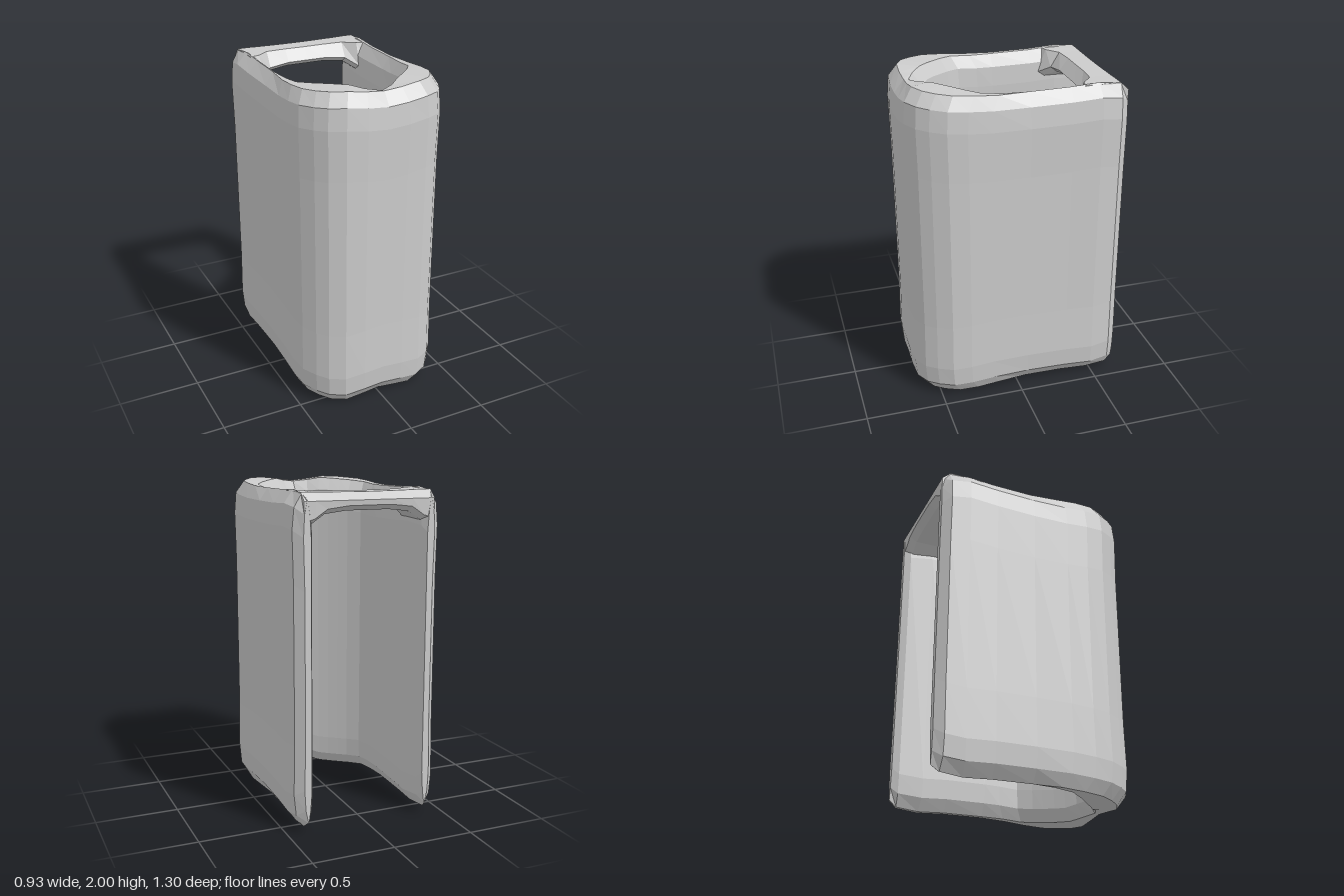
import * as THREE from 'three';

const material = new THREE.MeshStandardMaterial({ color: 0xcccccc, flatShading: true });

// Skin a row of closed rings (arrays of Vector3), capping both ends
function loft(rings, name) {
  const n = rings[0].length, pos = [], idx = [];
  rings.forEach(r => r.forEach(p => pos.push(p.x, p.y, p.z)));
  for (let i = 0; i < rings.length - 1; i++) {
    for (let j = 0; j < n; j++) {
      const k = (j + 1) % n, a = i * n + j, b = i * n + k;
      idx.push(a, b, b + n, a, b + n, a + n);
    }
  }
  [0, rings.length - 1].forEach(i => {
    const c = new THREE.Vector3();
    rings[i].forEach(p => c.addScaledVector(p, 1 / n));
    const ci = pos.length / 3;
    pos.push(c.x, c.y, c.z);
    for (let j = 0; j < n; j++) {
      const a = i * n + j, b = i * n + (j + 1) % n;
      if (i === 0) idx.push(ci, b, a); else idx.push(ci, a, b);
    }
  });
  const g = new THREE.BufferGeometry();
  g.setAttribute('position', new THREE.Float32BufferAttribute(pos, 3));
  g.setIndex(idx);
  g.computeVertexNormals();
  const mesh = new THREE.Mesh(g, material);
  mesh.name = name;
  return mesh;
}

// Wall section between an outer and an inner point, with bevelled rims
function wallRing([ox, oz, ix, iz, h]) {
  const t = Math.hypot(ox - ix, oz - iz);
  const rim = Math.min(0.07, t * 0.5), inner = Math.min(0.06, t * 0.4);
  const at = (d, y) => new THREE.Vector3(ox + (ix - ox) * d / t, y, oz + (iz - oz) * d / t);
  const top = [
    [0.006, h - 0.5], [0, h - 0.2], [Math.min(0.012, t * 0.15), h - 0.075], [rim, h],
    [t - inner, h - 0.005], [t - 0.008, h - 0.08], [t, h - 0.2],
  ];
  const bottom = top.map(([d, y]) => [d, 2 - y]).reverse();
  return [...top, ...bottom].map(([d, y]) => at(d, y));
}

export function createModel() {
  const group = new THREE.Group();
  group.name = 'openBackSleeve';

  // Half of the wall, back to front: outer x, z, inner x, z, rim height
  const half = [
    [0.405, -0.652, 0.36, -0.652, 1.93],
    [0.452, -0.6, 0.34, -0.61, 1.967],
    [0.463, -0.48, 0.325, -0.46, 1.982],
    [0.46, -0.3, 0.325, -0.3, 1.972],
    [0.457, -0.05, 0.33, -0.05, 1.968],
    [0.46, 0.18, 0.33, 0.05, 1.97],
    [0.462, 0.32, 0.322, 0.17, 1.98],
    [0.45, 0.435, 0.265, 0.25, 1.988],
    [0.4, 0.525, 0.22, 0.3, 1.993],
    [0.345, 0.59, 0.17, 0.355, 1.998],
    [0.255, 0.638, 0.12, 0.405, 2],
    [0.13, 0.65, 0.065, 0.455, 1.985],
  ];
  const mirrored = half.map(([ox, oz, ix, iz, h]) => [-ox, oz, -ix, iz, h]).reverse();
  const stations = [...half, [0, 0.65, 0, 0.492, 1.975], ...mirrored];
  group.add(loft(stations.map(wallRing), 'wall'));

  // Bar across the top of the open back, widening into the side walls:
  // x, front edge z, underside y, top y
  const barHalf = [
    [0.4, -0.33, 1.78, 1.972],
    [0.335, -0.345, 1.8, 1.972],
    [0.26, -0.41, 1.85, 1.97],
    [0.13, -0.422, 1.865, 1.968],
  ];
  const bar = [
    ...barHalf.map(([x, ...r]) => [-x, ...r]),
    [0, -0.422, 1.865, 1.967],
    ...[...barHalf].reverse(),
  ].map(([x, zf, yb, yt]) => [
    [-0.6, yt], [zf - 0.055, yt], [zf, yb + 0.03], [zf - 0.04, yb],
    [-0.6, yb], [-0.648, yb + 0.03], [-0.652, 1.925],
  ].map(([z, y]) => new THREE.Vector3(x, y, z)));
  group.add(loft(bar, 'backBar'));

  return group;
}
